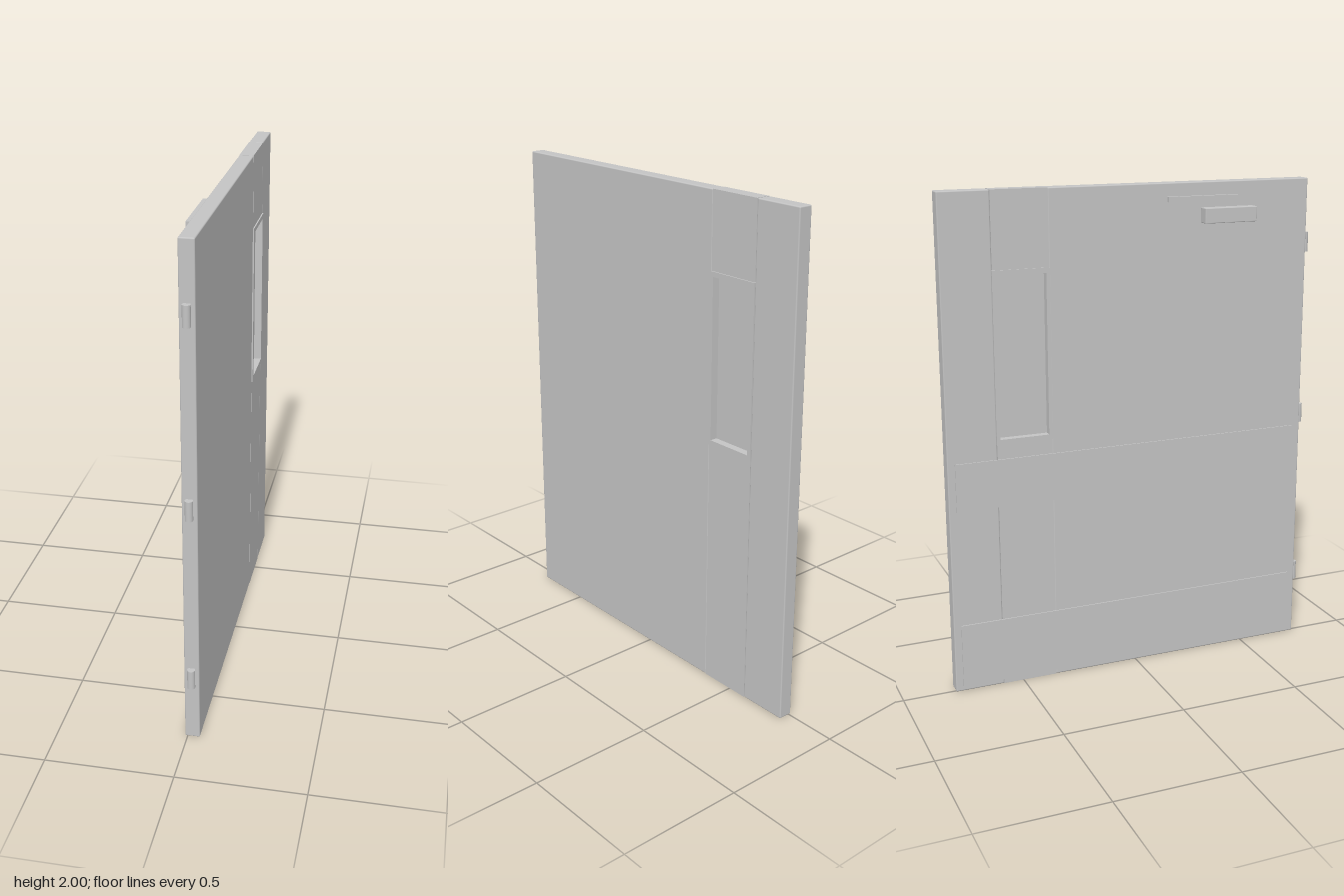
import * as THREE from 'three';
import { RoundedBoxGeometry } from 'three/addons/geometries/RoundedBoxGeometry.js';

export function createModel() {
  const door = new THREE.Group();
  door.name = 'door';
  const grey = new THREE.MeshStandardMaterial({ color: 0xc4c4c4 });
  grey.name = 'light grey';

  const add = (name, geometry, x, y, z) => {
    const mesh = new THREE.Mesh(geometry, grey);
    mesh.name = name;
    mesh.position.set(x, y, z);
    door.add(mesh);
    return mesh;
  };
  // Box given by its extents; an optional radius softens its edges
  const block = (name, [x0, x1], [y0, y1], [z0, z1], radius = 0) => {
    const size = [x1 - x0, y1 - y0, z1 - z0];
    const geometry = radius
      ? new RoundedBoxGeometry(...size, 2, radius)
      : new THREE.BoxGeometry(...size);
    return add(name, geometry, (x0 + x1) / 2, (y0 + y1) / 2, (z0 + z1) / 2);
  };

  // Door leaf: wide panel, narrow panel and the column between them
  const leaf = [-0.01, 0.048];
  block('widePanel', leaf, [0, 2], [-0.357, 0.76], 0.005);
  block('narrowPanel', leaf, [0, 2], [-0.785, -0.583], 0.005);
  block('upperColumn', leaf, [1.69, 2], [-0.583, -0.357]);
  block('lowerColumn', leaf, [0, 1.03], [-0.583, -0.357]);

  // Window frame, slightly proud on both faces, with its pane in the middle
  const frame = new THREE.Shape();
  frame.moveTo(0.355, 1.02).lineTo(0.585, 1.02).lineTo(0.585, 1.7).lineTo(0.355, 1.7).closePath();
  const opening = new THREE.Path();
  opening.moveTo(0.37, 1.04).lineTo(0.37, 1.68).lineTo(0.57, 1.68).lineTo(0.57, 1.04).closePath();
  frame.holes.push(opening);
  const frameGeometry = new THREE.ExtrudeGeometry(frame, { depth: 0.067, bevelEnabled: false });
  frameGeometry.rotateY(Math.PI / 2);
  add('windowFrame', frameGeometry, -0.014, 0, 0);
  block('windowPane', [0.016, 0.022], [1.03, 1.69], [-0.575, -0.365]);

  // Protective plates on the closer side
  block('kickPlate', [-0.015, -0.009], [0.02, 0.285], [-0.755, 0.727]);
  block('pushPlate', [-0.015, -0.009], [0.765, 0.96], [-0.755, 0.727]);

  // Door closer
  block('closerBody', [-0.055, -0.01], [1.84, 1.9], [0.28, 0.507], 0.003);
  block('closerArm', [-0.059, -0.042], [1.93, 1.95], [0.12, 0.418]);

  // Hinge barrels
  for (const y of [0.28, 1.005, 1.737]) {
    add('hinge', new THREE.CylinderGeometry(0.015, 0.015, 0.08, 24), 0.019, y, 0.77);
  }
  return door;
}
